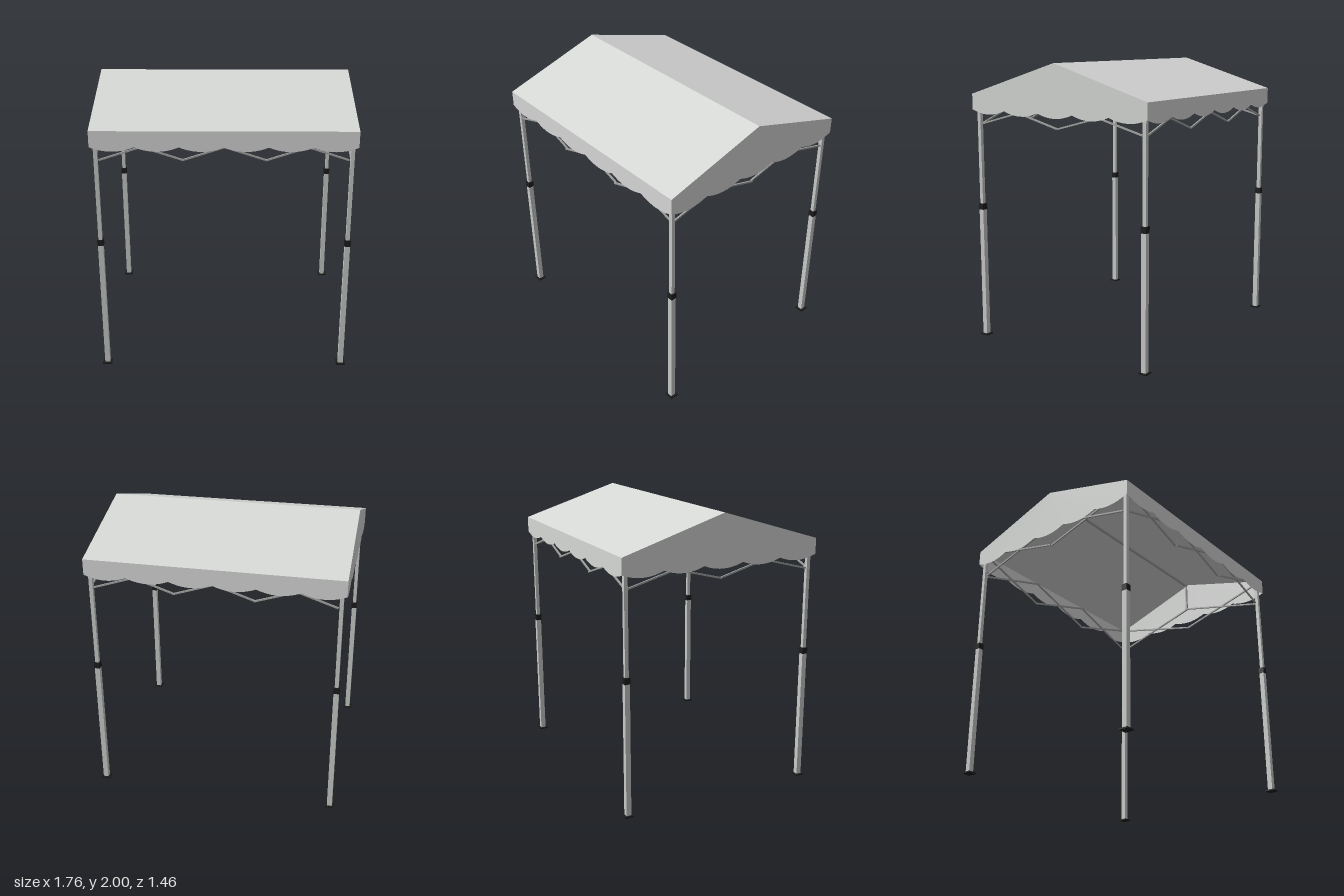
import * as THREE from 'three';

const canopyMat = new THREE.MeshStandardMaterial({ color: 0xd6d8d6, side: THREE.DoubleSide });
canopyMat.name = 'canopy fabric';
const legMat = new THREE.MeshStandardMaterial({ color: 0xc8cac8 });
legMat.name = 'leg metal';
const barMat = new THREE.MeshStandardMaterial({ color: 0xa2a4a2 });
barMat.name = 'truss metal';
const blackMat = new THREE.MeshStandardMaterial({ color: 0x1c1c1c });
blackMat.name = 'black plastic';

const HX = 0.88, HZ = 0.73, EAVE = 1.775, RIDGE = 2.0, CUSP = 1.665, DIP = 0.06;
const LX = 0.845, LZ = 0.693, LOW = 1.565, HIGH = 1.745;

function add(parent, geometry, material, name, x = 0, y = 0, z = 0) {
  const mesh = new THREE.Mesh(geometry, material);
  mesh.name = name;
  mesh.position.set(x, y, z);
  parent.add(mesh);
  return mesh;
}

// Straight square bar between two points
function bar(parent, a, b, size, name) {
  const p = new THREE.Vector3(...a), q = new THREE.Vector3(...b);
  const mesh = add(parent, new THREE.BoxGeometry(size, size, p.distanceTo(q)), barMat, name);
  mesh.position.copy(p).add(q).multiplyScalar(0.5);
  mesh.lookAt(q);
}

// Hanging wall with a scalloped lower edge and an optional gable peak
function wall(half, scallops, peak) {
  const s = new THREE.Shape();
  s.moveTo(half, EAVE);
  if (peak) s.lineTo(0, peak);
  s.lineTo(-half, EAVE);
  s.lineTo(-half, CUSP);
  const w = (2 * half) / scallops;
  for (let i = 0; i < scallops; i++) {
    const x = -half + i * w;
    s.quadraticCurveTo(x + w / 2, CUSP - DIP, x + w, CUSP);
  }
  s.closePath();
  return new THREE.ShapeGeometry(s, 10);
}

// Row of crossed bars, mapped to space by place(along, y, depth)
function scissors(parent, half, count, place, name) {
  const w = (2 * half) / count;
  for (let i = 0; i < count; i++) {
    const a = -half + i * w, b = a + w;
    bar(parent, place(a, LOW, 0.005), place(b, HIGH, 0.005), 0.011, name);
    bar(parent, place(a, HIGH, -0.005), place(b, LOW, -0.005), 0.011, name);
  }
}

export function createModel() {
  const model = new THREE.Group();
  model.name = 'canopyTent';

  // Fabric roof and valances
  const canopy = new THREE.Group();
  canopy.name = 'canopy';
  model.add(canopy);
  const slope = Math.hypot(HZ, RIDGE - EAVE);
  const pitch = Math.atan2(RIDGE - EAVE, HZ);
  for (const s of [1, -1]) {
    const roof = add(canopy, new THREE.PlaneGeometry(2 * HX, slope), canopyMat,
      s > 0 ? 'frontRoof' : 'backRoof', 0, (EAVE + RIDGE) / 2, s * HZ / 2);
    roof.rotation.order = 'YXZ';
    roof.rotation.set(pitch - Math.PI / 2, s > 0 ? 0 : Math.PI, 0);

    const valance = add(canopy, wall(HX, 6), canopyMat, s > 0 ? 'frontValance' : 'backValance', 0, 0, s * HZ);
    valance.rotation.y = s > 0 ? 0 : Math.PI;

    const gable = add(canopy, wall(HZ, 5, RIDGE), canopyMat, s > 0 ? 'leftGable' : 'rightGable', s * HX);
    gable.rotation.y = s * Math.PI / 2;
  }

  // Telescopic legs
  for (const sx of [1, -1]) for (const sz of [1, -1]) {
    const leg = new THREE.Group();
    leg.name = (sz > 0 ? 'front' : 'back') + (sx > 0 ? 'Left' : 'Right') + 'Leg';
    leg.position.set(sx * LX, 0, sz * LZ);
    model.add(leg);
    add(leg, new THREE.BoxGeometry(0.064, 0.01, 0.064), blackMat, 'footPlate', 0, 0.005, 0);
    add(leg, new THREE.BoxGeometry(0.036, 0.94, 0.036), legMat, 'lowerTube', 0, 0.48, 0);
    add(leg, new THREE.BoxGeometry(0.042, 0.044, 0.042), blackMat, 'collar', 0, 0.966, 0);
    add(leg, new THREE.BoxGeometry(0.026, 0.8, 0.026), legMat, 'upperTube', 0, 1.36, 0);
    add(leg, new THREE.BoxGeometry(0.036, 0.035, 0.036), blackMat, 'topBracket', 0, 1.748, 0);
  }

  // Folding trusses between the legs
  const frame = new THREE.Group();
  frame.name = 'frame';
  model.add(frame);
  for (const s of [1, -1]) {
    scissors(frame, LX - 0.02, 3, (t, y, d) => [t, y, s * LZ + d], s > 0 ? 'frontTruss' : 'backTruss');
    scissors(frame, LZ - 0.02, 2, (t, y, d) => [s * LX + d, y, t], s > 0 ? 'leftTruss' : 'rightTruss');
    bar(frame, [s * LX, HIGH, 0], [s * LX, 1.98, 0], 0.014, 'ridgePost');
  }
  bar(frame, [-LX, 1.978, 0], [LX, 1.978, 0], 0.016, 'ridgeBar');

  return model;
}
